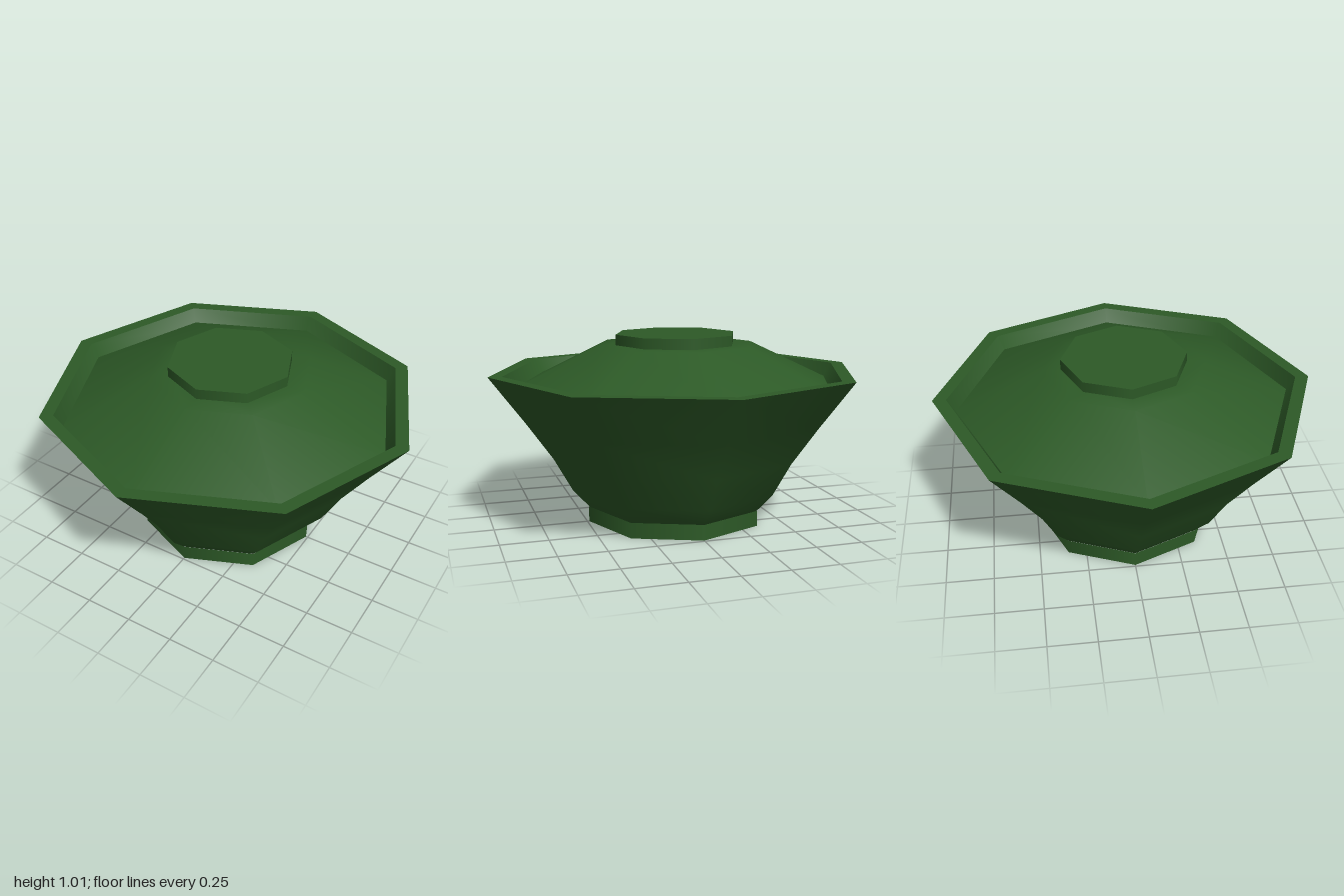
import * as THREE from 'three';

const green = new THREE.MeshStandardMaterial({ color: 0x2d5a27 });
green.name = 'forest green';

// One octagonal part; each profile is a smooth strip, with hard edges between strips
function turned(name, profiles) {
  const part = new THREE.Group();
  part.name = name;
  profiles.forEach((profile, i) => {
    const points = profile.map(([r, y]) => new THREE.Vector2(r, y));
    const mesh = new THREE.Mesh(new THREE.LatheGeometry(points, 8), green);
    mesh.name = `${name}Surface${i + 1}`;
    part.add(mesh);
  });
  return part;
}

export function createModel() {
  const model = new THREE.Group();
  model.name = 'liddedBowl';

  model.add(
    // Foot ring with a recessed underside
    turned('foot', [
      [[0, 0.08], [0.42, 0.08], [0.435, 0]],
      [[0.435, 0], [0.49, 0]],
      [[0.49, 0], [0.49, 0.083]],
    ]),
    // Flaring wall, flat rim and sloping inner wall
    turned('bowl', [
      [[0.485, 0.08], [0.575, 0.18], [0.675, 0.36], [0.815, 0.56], [1, 0.81]],
      [[1, 0.81], [0.928, 0.81]],
      [[0.928, 0.81], [0.87, 0.71], [0.76, 0.56]],
    ]),
    // Lid seated inside the rim
    turned('lid', [
      [[0.86, 0.705], [0.887, 0.735]],
      [[0.887, 0.735], [0.43, 0.95], [0.3, 0.952]],
    ]),
    // Knob on the lid
    turned('knob', [
      [[0.33, 0.94], [0.33, 1.007]],
      [[0.33, 1.007], [0, 1.007]],
    ]),
  );
  return model;
}
